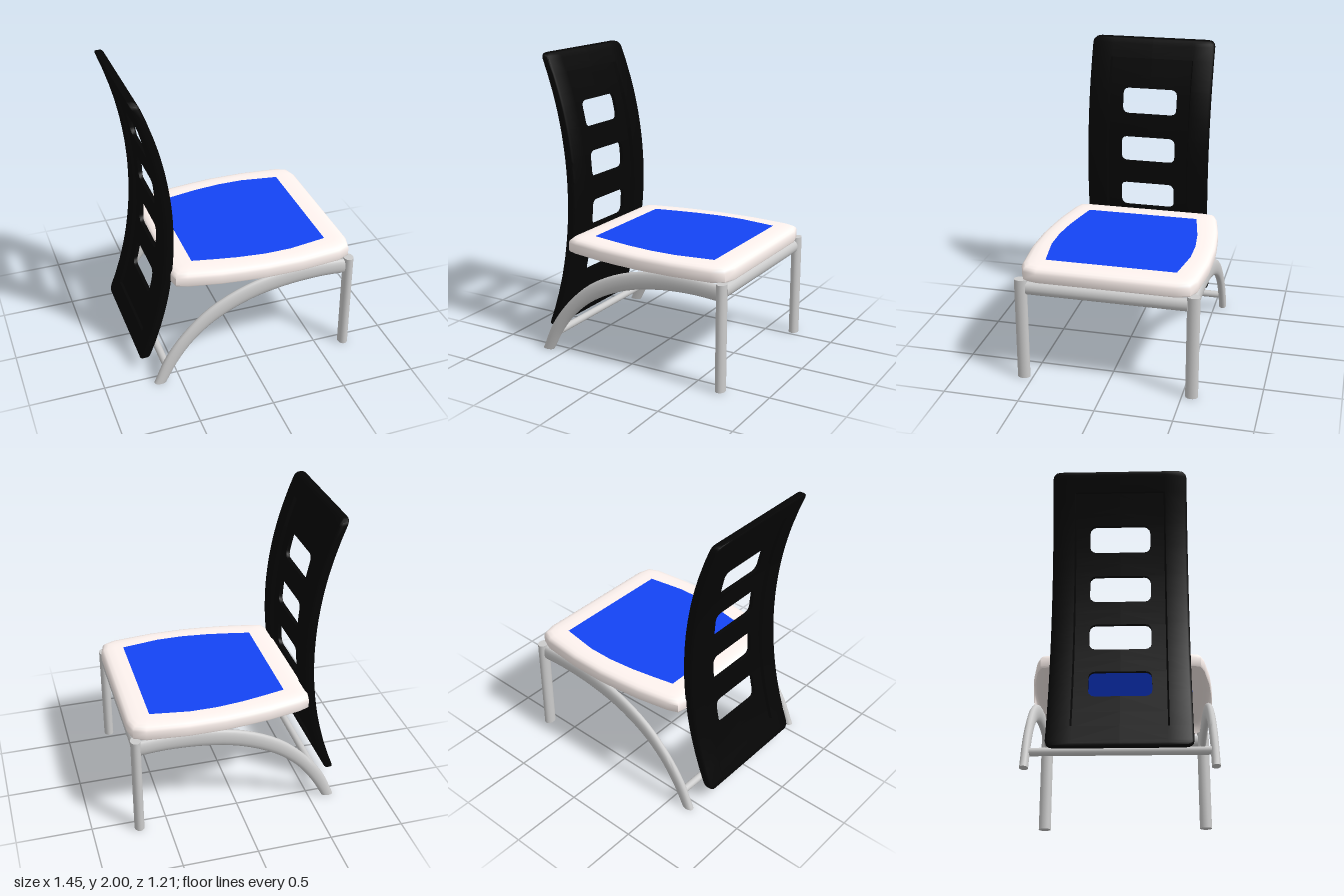
import * as THREE from 'three';
import { toCreasedNormals } from 'three/addons/utils/BufferGeometryUtils.js';

const paint = (color, side = THREE.FrontSide) => new THREE.MeshStandardMaterial({ color, side });

// Skins a list of equal-length closed rings of [x, y, z]; faces are turned outward
function loft(rings, capped = true) {
  const n = rings[0].length, last = rings.length - 1;
  const pos = rings.flat(2), idx = [];
  for (let r = 0; r < last; r++) {
    for (let i = 0; i < n; i++) {
      const a = r * n + i, b = r * n + (i + 1) % n;
      idx.push(a, b, b + n, a, b + n, a + n);
    }
  }
  if (capped) {
    for (const r of [0, last]) {
      const c = pos.length / 3;
      for (let k = 0; k < 3; k++) pos.push(rings[r].reduce((s, p) => s + p[k], 0) / n);
      for (let i = 0; i < n; i++) {
        const a = r * n + i, b = r * n + (i + 1) % n;
        idx.push(...(r ? [c, a, b] : [c, b, a]));
      }
    }
  }
  const v = (i) => new THREE.Vector3().fromArray(pos, 3 * i);
  let volume = 0;
  for (let i = 0; i < idx.length; i += 3) volume += v(idx[i]).dot(v(idx[i + 1]).cross(v(idx[i + 2])));
  if (volume < 0) idx.reverse();
  const geo = new THREE.BufferGeometry();
  geo.setAttribute('position', new THREE.Float32BufferAttribute(pos, 3));
  geo.setIndex(idx);
  return toCreasedNormals(geo, 0.95);
}

// One half (side = 1 or -1) of the bent, slotted, recessed backrest, stacked from level sections
function backrestHalf(side) {
  const R = 2.36, midY = 1.05, frontX = -0.473, thick = 0.071, half = 0.435;
  const rows = [];
  const row = (y, inner, outer, recess, trim) => {
    const f = recess * 0.025, b = recess * 0.02, e = 0.015;
    const section = [
      [inner, f + trim], [0.285, f + trim], [0.295, trim], [outer - e, trim],
      [outer - 0.004, e * 0.4 + trim], [outer, e + trim], [outer, thick - e - trim],
      [outer - 0.004, thick - e * 0.4 - trim], [outer - e, thick - trim],
      [0.295, thick - trim], [0.285, thick - b - trim], [inner, thick - b - trim],
    ];
    const h = y - midY;
    const front = frontX - R + Math.sqrt(R * R - h * h);
    const slim = 1 - 0.2 * h * h; // thins toward both ends
    rows.push(section.map(([z, d]) => [front - d * slim, y, side * z]));
  };
  const corner = [0, 1, 2, 3].map((k) => k * Math.PI / 6);
  const r = 0.04;
  // rounded bottom end
  for (const t of corner) row(0.1 + r * (1 - Math.cos(t)), 0, half - r + r * Math.sin(t), 0, 0.01 * (1 - Math.sin(t)));
  row(0.24, 0, half, 0, 0);
  row(0.24, 0, half, 1, 0);
  row(0.35, 0, half, 1, 0);
  // four rounded slots
  for (let s = 0; s < 4; s++) {
    const y0 = 0.463 + 0.34 * s, y1 = y0 + 0.18;
    row(y0, 0, half, 1, 0);
    for (const t of corner) row(y0 + r * (1 - Math.cos(t)), 0.155 + r * Math.sin(t), half, 1, 0);
    row((y0 + y1) / 2, 0.195, half, 1, 0);
    for (const t of [...corner].reverse()) row(y1 - r * (1 - Math.cos(t)), 0.155 + r * Math.sin(t), half, 1, 0);
    row(y1, 0, half, 1, 0);
    row(y1 + 0.08, 0, half, 1, 0);
  }
  row(1.87, 0, half, 1, 0);
  row(1.87, 0, half, 0, 0);
  // rounded top end
  for (const t of [...corner].reverse()) row(2 - r * (1 - Math.cos(t)), 0, half - r + r * Math.sin(t), 0, 0.01 * (1 - Math.sin(t)));
  return loft(rows);
}

// Arched side rail with an oval section, spanned between its lower and upper edges
function archGeometry(z) {
  const curve = (pts) => new THREE.CatmullRomCurve3(pts.map(([x, y]) => new THREE.Vector3(x, y, 0)));
  const low = curve([[-0.595, 0], [-0.51, 0.152], [-0.4, 0.295], [-0.24, 0.425], [0, 0.533], [0.25, 0.584], [0.5, 0.598], [0.67, 0.588]]);
  const high = curve([[-0.675, 0], [-0.59, 0.19], [-0.465, 0.36], [-0.28, 0.525], [-0.03, 0.645], [0.23, 0.7], [0.48, 0.706], [0.67, 0.695]]);
  const rings = [];
  for (let i = 0; i <= 28; i++) {
    const a = low.getPoint(i / 28), b = high.getPoint(i / 28);
    rings.push(Array.from({ length: 16 }, (_, k) => {
      const t = k * Math.PI / 8, p = a.clone().lerp(b, 0.5 + 0.5 * Math.cos(t));
      return [p.x, p.y, z + 0.026 * Math.sign(Math.sin(t)) * Math.abs(Math.sin(t)) ** 0.8];
    }));
  }
  return loft(rings);
}

export function createModel() {
  const model = new THREE.Group();
  const metal = paint(0xcccccc), black = paint(0x050505);
  const cream = paint(0xfff4f0, THREE.DoubleSide), blue = paint(0x1444f4, THREE.DoubleSide);
  const add = (name, geo, mat, parent = model) => {
    const mesh = new THREE.Mesh(geo, mat);
    mesh.name = name;
    parent.add(mesh);
    return mesh;
  };

  // Seat: a shell open below, its rim running from an outer outline
  // to the blue panel's outline, both given as [x, z] on one side
  const outer = [[-0.507, 0.43], [-0.49, 0.5], [-0.42, 0.527], [-0.2, 0.57], [-0.05, 0.587],
    [0.1, 0.6], [0.35, 0.6], [0.62, 0.575], [0.7, 0.54], [0.725, 0.45]];
  const inner = [[-0.35, 0.39], [-0.35, 0.39], [-0.35, 0.39], [-0.2, 0.422], [-0.05, 0.45],
    [0.13, 0.47], [0.31, 0.47], [0.57, 0.43], [0.57, 0.43], [0.57, 0.43]];
  const mirror = (pts) => [...pts, ...pts.map(([x, z]) => [x, -z]).reverse()];
  const seatRing = ([y, t]) => mirror(outer.map(([x, z], i) =>
    [x + (inner[i][0] - x) * t, z + (inner[i][1] - z) * t])).map(([x, z]) => [x, y, z]);
  const rimProfile = [[0.702, 0.03], [0.712, 0], [0.762, 0], [0.778, 0.04], [0.79, 0.13], [0.797, 0.3], [0.8, 0.6], [0.8, 1]];
  const seat = new THREE.Group();
  seat.name = 'seat';
  model.add(seat);
  add('seatRim', loft(rimProfile.map(seatRing), false), cream, seat);
  const panel = add('seatPanel', new THREE.ShapeGeometry(new THREE.Shape(
    mirror(inner.slice(2, 8)).map(([x, z]) => new THREE.Vector2(x, z)))), blue, seat);
  panel.rotation.x = -Math.PI / 2;
  panel.position.y = 0.8;

  // Backrest
  const back = new THREE.Group();
  back.name = 'backrest';
  model.add(back);
  add('backrestLeft', backrestHalf(1), black, back);
  add('backrestRight', backrestHalf(-1), black, back);

  // Oval front legs and arched rails that sweep down to the rear feet
  for (const [side, s] of [['Left', 1], ['Right', -1]]) {
    const leg = add('frontLeg' + side, new THREE.CylinderGeometry(1, 1, 0.706, 20), metal);
    leg.scale.set(0.033, 1, 0.042);
    leg.position.set(0.692, 0.353, s * 0.562);
    add('archedRail' + side, archGeometry(s * 0.56), metal);
  }

  // Cross bars
  for (const [name, x, y, rx, ry, length] of [
    ['frontCrossBar', 0.685, 0.643, 0.032, 0.043, 1.05],
    ['rearCrossBar', -0.585, 0.115, 0.025, 0.025, 1.1],
  ]) {
    const geo = new THREE.CylinderGeometry(1, 1, length, 16).rotateX(Math.PI / 2).scale(rx, ry, 1);
    add(name, geo, metal).position.set(x, y, 0);
  }
  return model;
}
